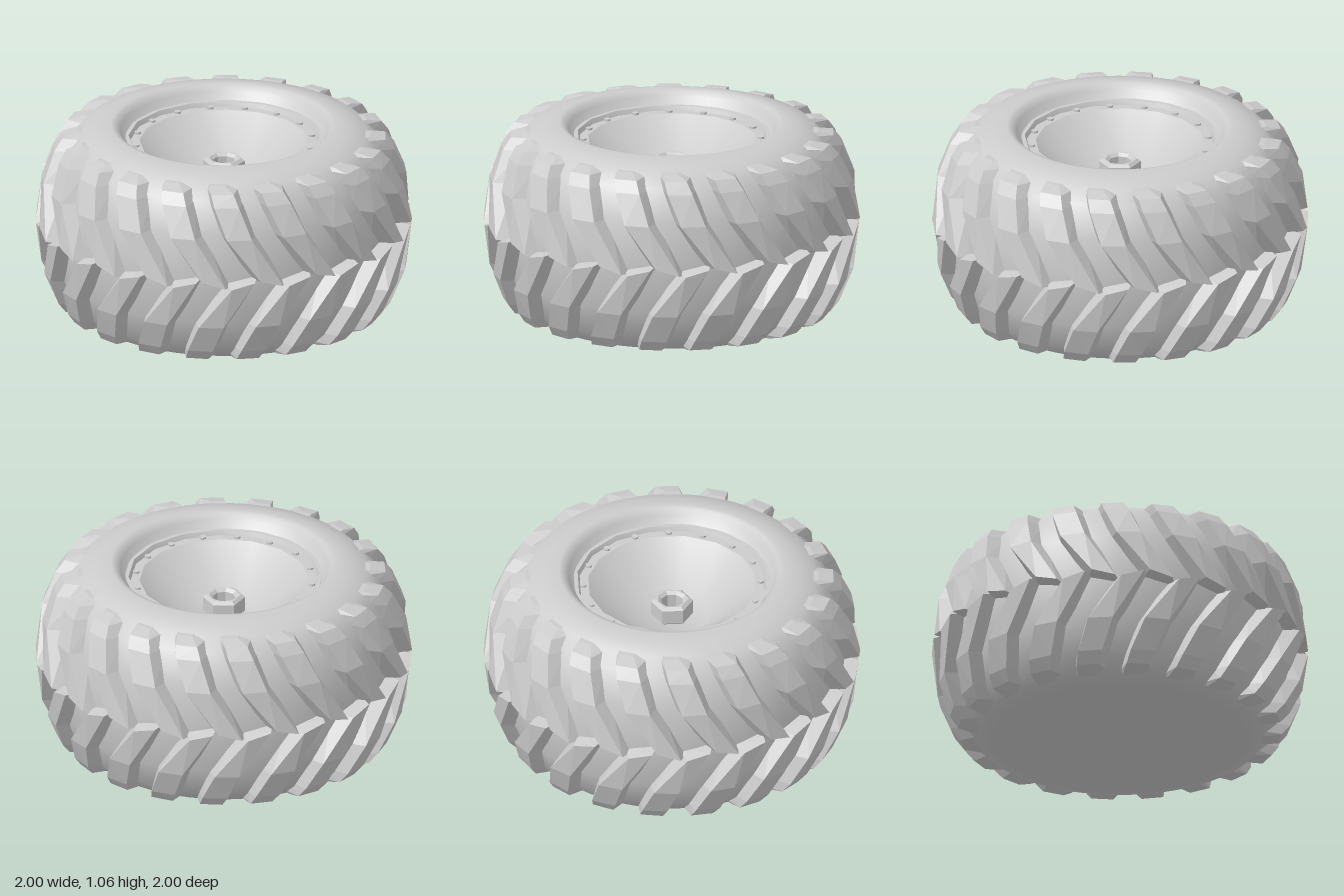
import * as THREE from 'three';
import { mergeVertices, toCreasedNormals } from 'three/addons/utils/BufferGeometryUtils.js';

const MID = 0.53;      // height of the tread centre line
const LUGS = 20;       // lugs in each row
const DEG = Math.PI / 180;

const smooth = new THREE.MeshStandardMaterial({ color: 0xcccccc });
const faceted = new THREE.MeshStandardMaterial({ color: 0xcccccc, flatShading: true });

function part(name, geometry, material = smooth) {
  const mesh = new THREE.Mesh(geometry, material);
  mesh.name = name;
  return mesh;
}

// Profile points run from the bottom up along the outside, then inward over the top
function lathe(points, segments, crease, phase = 0) {
  const g = new THREE.LatheGeometry(points.map(p => new THREE.Vector2(...p)), segments, phase);
  g.deleteAttribute('normal');
  g.deleteAttribute('uv');
  return toCreasedNormals(mergeVertices(g), crease);
}

// Tread bar: cross-sections from the centre line out over the shoulder.
// Each is [distance from mid, angle, outer radius, inner radius, half top width, half base width]
const SECTIONS = [
  [0.00, -3, 1.0, 0.88, 0.062, 0.097],
  [0.25, -13, 0.97, 0.86, 0.066, 0.098],
  [0.41, -17, 0.905, 0.80, 0.066, 0.095],
  [0.47, -18.5, 0.86, 0.75, 0.06, 0.087],
  [0.49, -20.5, 0.78, 0.71, 0.04, 0.06],
];

function lugGeometry(side) {
  const pos = [], index = [];
  SECTIONS.forEach(([h, deg, outer, inner, top, base], s) => {
    // the last value of each corner slants the end at the centre line
    const corners = [[-base, inner, 0.005], [-top, outer, 0.02], [top, outer, -0.015], [base, inner, -0.035]];
    for (const [w, r, skew] of corners) {
      const a = deg * DEG;
      // flat-topped bar: offset sideways along the tangent
      const k = r / Math.hypot(r, w), x = w * k, z = r * k;
      pos.push(z * Math.sin(a) + x * Math.cos(a),
        MID + side * (h + (s === 0 ? skew : 0)),
        z * Math.cos(a) - x * Math.sin(a));
    }
  });
  const tri = (a, b, c) => index.push(...(side > 0 ? [a, b, c] : [a, c, b]));
  const quad = (a, b, c, d) => { tri(a, b, c); tri(a, c, d); };
  for (let s = 0; s < SECTIONS.length - 1; s++) {
    for (let k = 0; k < 4; k++) {
      const n = (k + 1) % 4, o = s * 4;
      quad(o + k, o + n, o + 4 + n, o + 4 + k);
    }
  }
  const e = (SECTIONS.length - 1) * 4;
  quad(0, 3, 2, 1);
  quad(e, e + 1, e + 2, e + 3);
  const g = new THREE.BufferGeometry();
  g.setAttribute('position', new THREE.Float32BufferAttribute(pos, 3));
  g.setIndex(index);
  const flat = g.toNonIndexed();
  flat.computeVertexNormals();
  return flat;
}

export function createModel() {
  const model = new THREE.Group();
  model.name = 'tractorWheel';

  // Tyre body with closed underside and soft bead lip
  model.add(part('tyreBody', lathe([
    [0, 0], [0.58, 0], [0.68, 0.015], [0.76, 0.04], [0.83, 0.11], [0.9, 0.28],
    [0.925, MID], [0.9, 0.78], [0.83, 0.95], [0.76, 1.018], [0.68, 1.043],
    [0.6, 1.063], [0.575, 1.057], [0.55, 1.03], [0.53, 0.995], [0.505, 0.975],
  ], 64, 1.2)));

  // Two staggered rows of angled lugs
  const tread = new THREE.Group();
  tread.name = 'tread';
  for (const side of [1, -1]) {
    const geometry = lugGeometry(side);
    for (let i = 0; i < LUGS; i++) {
      const lug = part(side > 0 ? 'upperLug' : 'lowerLug', geometry, faceted);
      lug.rotation.y = (i + (side > 0 ? 0 : 0.5)) * 2 * Math.PI / LUGS;
      tread.add(lug);
    }
  }
  model.add(tread);

  // Sixteen-sided rim: raised edge with bolt flange, then dish and hub plate
  model.add(part('rimFlange', lathe([
    [0.535, 0.96], [0.53, 0.99], [0.508, 0.99], [0.497, 0.965], [0.45, 0.965],
  ], 16, 0.45, Math.PI / 16)));
  model.add(part('rimDish', lathe([
    [0.45, 0.965], [0.19, 0.76], [0, 0.76],
  ], 16, 1.2, Math.PI / 16)));

  // Flange bolts
  const boltGeometry = new THREE.CylinderGeometry(0.018, 0.018, 0.02, 10);
  for (let i = 0; i < 16; i++) {
    const a = i * Math.PI / 8;
    const bolt = part('flangeBolt', boltGeometry, faceted);
    bolt.position.set(0.472 * Math.sin(a), 0.966, 0.472 * Math.cos(a));
    model.add(bolt);
  }

  // Hollow hexagonal hub nut with chamfered edges
  const ring = (r, n) => Array.from({ length: n }, (_, i) => {
    const a = (i + 0.5) * 2 * Math.PI / n;
    return new THREE.Vector2(r * Math.cos(a), r * Math.sin(a));
  });
  const hex = new THREE.Shape(ring(0.092, 6));
  hex.holes.push(new THREE.Path(ring(0.078, 8).reverse()));
  const nutGeometry = new THREE.ExtrudeGeometry(hex, {
    depth: 0.08, bevelEnabled: true, bevelThickness: 0.015, bevelSize: 0.017, bevelSegments: 1,
  });
  nutGeometry.rotateX(-Math.PI / 2);
  const nut = part('hubNut', nutGeometry, faceted);
  nut.position.y = 0.775;
  model.add(nut);

  return model;
}
